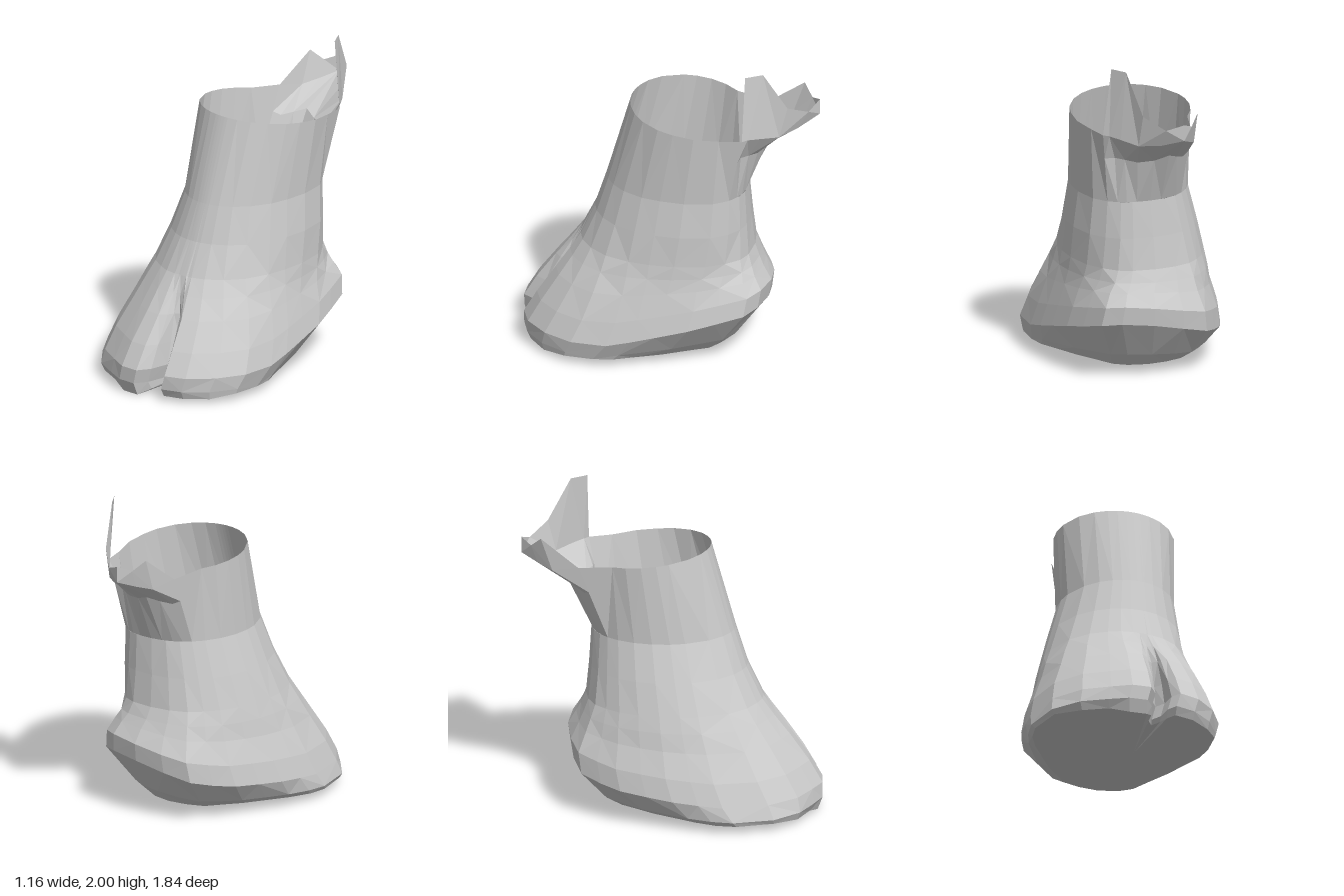
import * as THREE from 'three';

// Foot outline seen from above, from the cleft round the +x side: [x, z, cleft depth share]
const OUTLINE = [
  [0.125, 0.9, 1], [0.165, 0.9, 0.75], [0.18, 0.88, 0.25], [0.22, 0.88], [0.35, 0.83], [0.48, 0.7],
  [0.57, 0.52], [0.58, 0.3], [0.57, 0.15], [0.55, 0], [0.52, -0.2], [0.47, -0.36], [0.41, -0.53],
  [0.3, -0.6], [0.1, -0.63], [-0.1, -0.61], [-0.27, -0.56], [-0.36, -0.44], [-0.44, -0.32],
  [-0.5, -0.16], [-0.55, 0], [-0.57, 0.16], [-0.58, 0.31], [-0.52, 0.59], [-0.38, 0.77],
  [-0.22, 0.86], [-0.1, 0.92], [0.02, 0.92], [0.07, 0.9, 0.25], [0.09, 0.9, 0.75],
];
const ANGLES = OUTLINE.map(([x, z]) => {
  const a = Math.atan2(x - 0.08, z - 0.1);
  return a < 0 ? a + Math.PI * 2 : a;
});

// Levels: height, x range, z range, roundness (0 foot outline, 1 ellipse),
// cleft depth, rise at heel, pinch at heel
const LEVELS = [
  [0.05, -0.56, 0.54, -0.36, 0.89, 0, 0.24, 0, 0.5],
  [0.08, -0.58, 0.55, -0.46, 0.92, 0, 0.25, 0.08, 0.28],
  [0.17, -0.565, 0.58, -0.62, 0.92, 0, 0.25, 0.22, 0],
  [0.31, -0.53, 0.55, -0.635, 0.84, 0, 0.19, 0.19, 0],
  [0.48, -0.47, 0.51, -0.585, 0.72, 0.15, 0.1, 0.1, 0],
  [0.6, -0.44, 0.485, -0.555, 0.63, 0.4, 0.05, 0.03, 0],
  [0.7, -0.41, 0.47, -0.525, 0.56, 0.65, 0, 0, 0],
  [0.9, -0.35, 0.455, -0.505, 0.465, 0.9, 0, 0, 0],
  [1.13, -0.28, 0.43, -0.49, 0.39, 1, 0, 0, 0],
  [1.62, -0.28, 0.46, -0.5, 0.24, 1, 0, 0, 0],
];
const FLAP_FROM = 11, FLAP_TO = 17; // columns where the back wall folds outward

const { lerp, clamp } = THREE.MathUtils;
const material = new THREE.MeshStandardMaterial({
  color: 0xcccccc, flatShading: true, side: THREE.DoubleSide,
});

// Point on the ellipse that fills a level's box, a little fuller at the back of the +x side
function ellipsePoint([y, x0, x1, z0, z1], a) {
  const full = 0.035 * Math.max(0, -Math.sin(2 * a)) * (Math.sin(a) > 0 ? 1 : 0);
  return new THREE.Vector3(
    (x0 + x1) / 2 + Math.sin(a) * (x1 - x0) / 2 + full, y,
    (z0 + z1) / 2 + Math.cos(a) * (z1 - z0) / 2 - full);
}

// Point of a level: foot outline fitted to its box, blended towards the ellipse
function levelPoint(level, i) {
  const [y, x0, x1, z0, z1, round, cleft, rise, pinch] = level;
  const [ox, oz, depth = 0] = OUTLINE[i];
  const p = new THREE.Vector3(
    x0 + (ox + 0.58) / 1.16 * (x1 - x0), y,
    z0 + (oz + 0.63) / 1.55 * (z1 - z0) - depth * cleft);
  p.lerp(ellipsePoint(level, ANGLES[i]), round);
  const heel = clamp((0.3 - p.z) / 0.9, 0, 1);
  p.y += rise * heel * clamp(0.8 + p.x, 0.4, 1);
  p.x *= 1 - pinch * heel;
  return p;
}

// Skin between rows of points; skip(row, column) leaves a quad open
function skin(name, rows, closed, skip = () => false) {
  const pts = [];
  for (let r = 0; r < rows.length - 1; r++) {
    const n = rows[r].length;
    for (let i = 0; i < (closed ? n : n - 1); i++) {
      if (skip(r, i)) continue;
      const j = (i + 1) % n;
      const [a, b, c, d] = [rows[r][i], rows[r][j], rows[r + 1][j], rows[r + 1][i]];
      if ((i + r) % 2) pts.push(a, b, c, a, c, d);
      else pts.push(a, b, d, b, c, d);
    }
  }
  const geometry = new THREE.BufferGeometry().setFromPoints(pts);
  geometry.computeVertexNormals();
  const mesh = new THREE.Mesh(geometry, material);
  mesh.name = name;
  return mesh;
}

export function createModel() {
  const group = new THREE.Group();
  group.name = 'clovenFoot';

  const rows = LEVELS.map((level) => OUTLINE.map((_, i) => levelPoint(level, i)));
  const sole = rows[0], top = rows[rows.length - 1], ankle = rows.length - 2;

  // Toes dip to the ground, the open rim slopes down to the back and the +x side
  for (const p of sole) {
    if (p.z > 0.7) p.y = Math.abs(p.x + 0.04) < 0.08 ? 0 : 0.03;
  }
  for (const p of top) p.y = 1.635 + p.z * 0.11 - (p.x - 0.09) * 0.03;
  top[FLAP_FROM].set(0.4, 1.58, -0.51);
  top[FLAP_TO].set(-0.15, 1.58, -0.57);

  // Foot and shaft in one skin, open where the flap starts
  group.add(skin('footAndShaft', rows, true,
    (r, i) => r === ankle && i >= FLAP_FROM && i < FLAP_TO));

  // Sole: fan from a point behind the cleft
  const middle = sole.map(() => new THREE.Vector3(0.12, 0.055, 0.2));
  group.add(skin('sole', [middle, sole], true));

  // Torn flap: back wall that flares out into a scoop with one tall spike
  const between = (points) => [
    top[FLAP_FROM], ...points.map((p) => new THREE.Vector3(...p)), top[FLAP_TO]];
  const rim = between([
    [0.35, 2, -0.52], [0.29, 2, -0.62], [0.23, 1.75, -0.76], [0.12, 1.68, -0.87],
    [0.02, 1.72, -0.92], [-0.05, 1.69, -0.86], [-0.11, 1.755, -0.8]]);
  const lip = between([
    [0.37, 1.58, -0.54], [0.32, 1.57, -0.61], [0.24, 1.55, -0.71], [0.13, 1.57, -0.81],
    [0.02, 1.62, -0.92], [-0.05, 1.58, -0.82], [-0.11, 1.55, -0.73]]);
  const base = rim.map((_, k) => {
    const s = FLAP_FROM + (FLAP_TO - FLAP_FROM) * k / (rim.length - 1);
    const i = Math.min(Math.floor(s), FLAP_TO - 1);
    return rows[ankle][i].clone().lerp(rows[ankle][i + 1], s - i);
  });
  const bend = base.map((b, k) => {
    const out = k === 0 || k === rim.length - 1 ? 0.65 : 0.35;
    return new THREE.Vector3(
      lerp(b.x, lip[k].x, out), lerp(b.y, lip[k].y, 0.65), lerp(b.z, lip[k].z, out));
  });
  group.add(skin('backFlap', [base, bend, lip, rim], false));

  return group;
}
